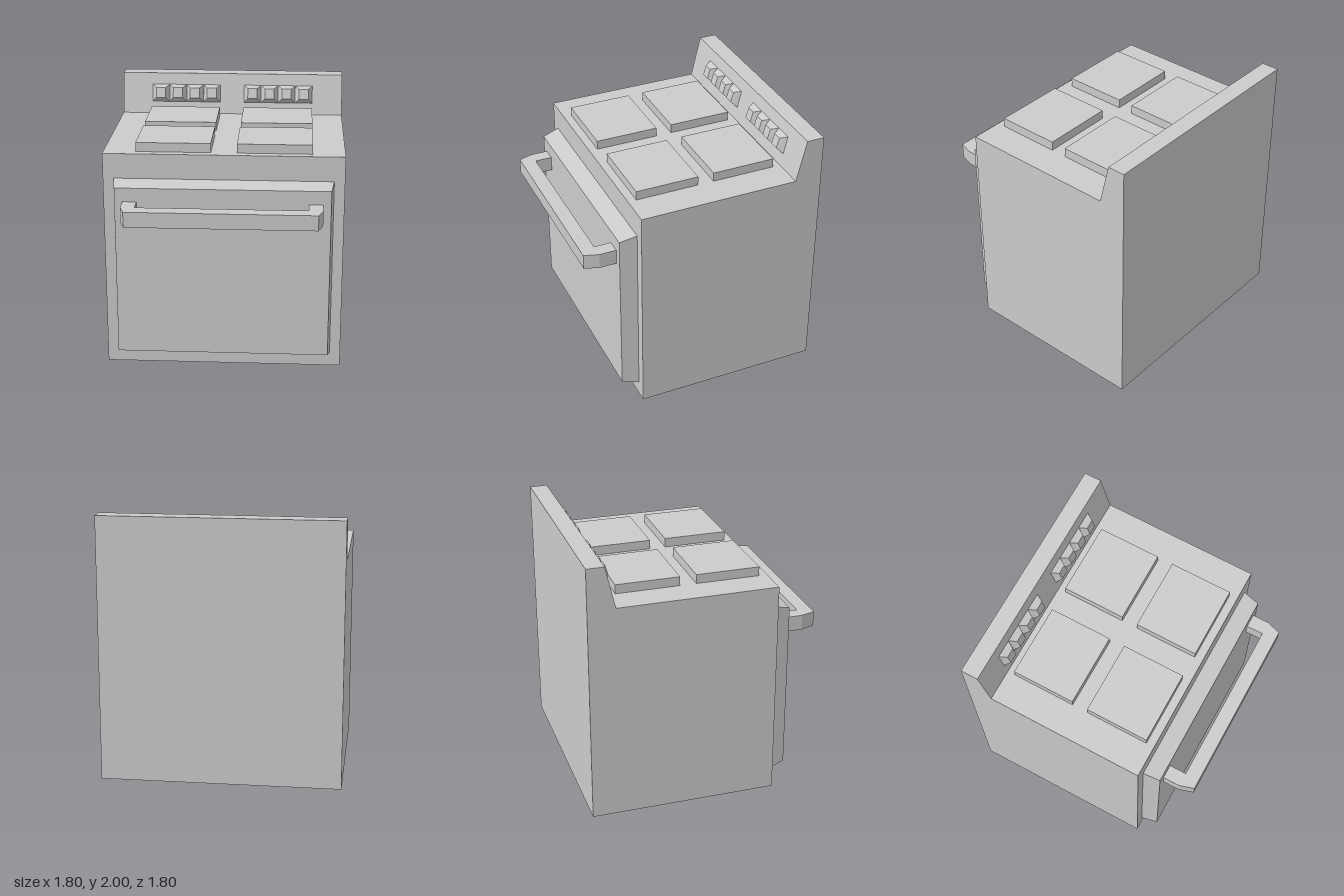
import * as THREE from 'three';

const material = new THREE.MeshStandardMaterial({ color: 0xcccccc, flatShading: true });

function add(parent, name, geometry) {
  const mesh = new THREE.Mesh(geometry, material);
  mesh.name = name;
  parent.add(mesh);
  return mesh;
}

// Extrude a list of 2D points without bevel
function prism(points, depth) {
  const shape = new THREE.Shape(points.map(([x, y]) => new THREE.Vector2(x, y)));
  return new THREE.ExtrudeGeometry(shape, { depth, bevelEnabled: false });
}

// Box whose back and front faces differ; each face has a half width
// and the [y, z] of its bottom and top edge
function taperedBox(back, front) {
  const geometry = new THREE.BoxGeometry(2, 2, 2);
  const pos = geometry.attributes.position;
  for (let i = 0; i < pos.count; i++) {
    const face = pos.getZ(i) > 0 ? front : back;
    const [y, z] = pos.getY(i) > 0 ? face.top : face.bottom;
    pos.setXYZ(i, pos.getX(i) * face.half, y, z);
  }
  geometry.computeVertexNormals();
  return geometry;
}

export function createModel() {
  const stove = new THREE.Group();
  stove.name = 'stove';

  // Cabinet and sloped control panel: one side profile as [-z, y]
  const body = prism([
    [-0.53, 0], [0.9, 0], [0.9, 2], [0.765, 2], [0.69, 1.68], [-0.53, 1.68],
  ], 1.8);
  body.rotateY(Math.PI / 2).translate(-0.9, 0, 0);
  add(stove, 'body', body);

  // Oven door with bevelled rim
  add(stove, 'ovenDoor', taperedBox(
    { half: 0.82, bottom: [0.11, 0.53], top: [1.49, 0.53] },
    { half: 0.8, bottom: [0.145, 0.66], top: [1.455, 0.66] },
  ));

  // Door handle: plan outline as [x, -z], with chamfered corners
  const handle = prism([
    [-0.74, -0.66], [-0.74, -0.79], [-0.705, -0.9], [0.705, -0.9], [0.74, -0.79],
    [0.74, -0.66], [0.635, -0.66], [0.635, -0.79], [-0.635, -0.79], [-0.635, -0.66],
  ], 0.117);
  handle.rotateX(-Math.PI / 2).translate(0, 1.233, 0);
  add(stove, 'doorHandle', handle);

  // Four square hot plates
  const plate = new THREE.BoxGeometry(0.56, 0.07, 0.487);
  for (const x of [-0.377, 0.377]) {
    for (const z of [-0.387, 0.223]) {
      add(stove, 'hotPlate', plate).position.set(x, 1.715, z);
    }
  }

  // Two rows of four tapered knobs on the sloped panel
  const pitch = 0.14;
  const knob = taperedBox(
    { half: pitch / 2, bottom: [1.772, -0.712], top: [1.91, -0.744] },
    { half: 0.038, bottom: [1.815, -0.668], top: [1.894, -0.69] },
  );
  for (const side of [-1, 1]) {
    const row = new THREE.Group();
    row.name = side > 0 ? 'leftKnobs' : 'rightKnobs';
    for (let i = 0; i < 4; i++) {
      add(row, 'knob', knob).position.x = side * 0.377 + (i - 1.5) * pitch;
    }
    stove.add(row);
  }

  return stove;
}
